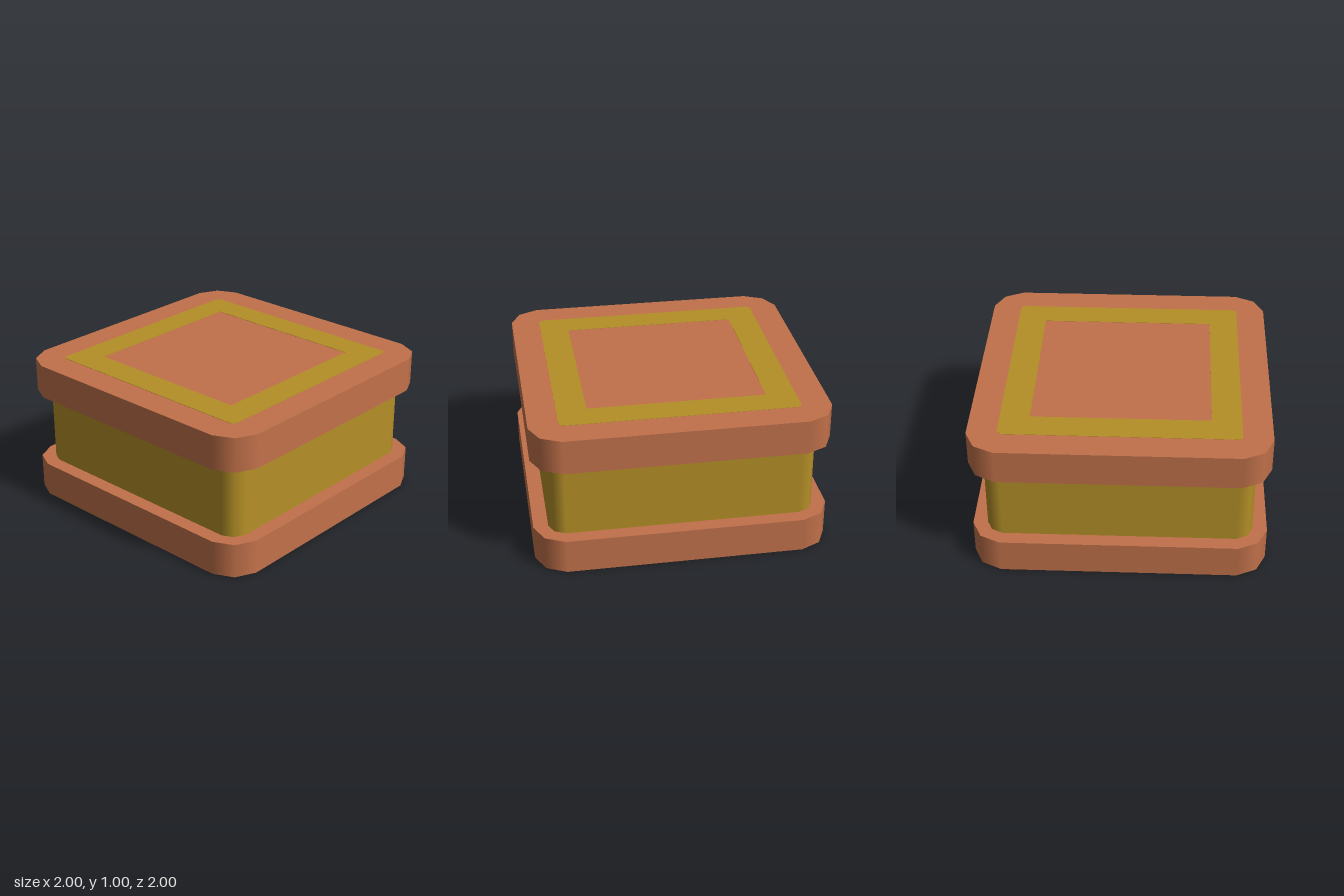
import * as THREE from 'three';

// Outline of a square with each corner cut by two facets
function roundedSquare(half, radius) {
  const c = half - radius, m = c + radius * 0.675;
  const corner = [[half, c], [m, m], [c, half]];
  const points = [];
  for (let q = 0; q < 4; q++) {
    const cos = [1, 0, -1, 0][q], sin = [0, 1, 0, -1][q];
    for (const [x, y] of corner) points.push(new THREE.Vector2(x * cos - y * sin, x * sin + y * cos));
  }
  return new THREE.Shape(points);
}

// Upright block whose corners are shaded smoothly into flat sides
function block(name, half, radius, y0, y1, material) {
  const geometry = new THREE.ExtrudeGeometry(roundedSquare(half, radius), { depth: y1 - y0, bevelEnabled: false });
  const pos = geometry.attributes.position, normal = geometry.attributes.normal;
  const c = half - radius;
  const n = new THREE.Vector3();
  for (let i = 0; i < pos.count; i++) {
    if (Math.abs(normal.getZ(i)) > 0.5) continue;
    const x = pos.getX(i), y = pos.getY(i);
    n.set(x - THREE.MathUtils.clamp(x, -c, c), y - THREE.MathUtils.clamp(y, -c, c), 0).normalize();
    normal.setXYZ(i, n.x, n.y, 0);
  }
  geometry.rotateX(-Math.PI / 2).translate(0, y0, 0);
  const mesh = new THREE.Mesh(geometry, material);
  mesh.name = name;
  return mesh;
}

export function createModel() {
  const terracotta = new THREE.MeshStandardMaterial({ name: 'terracotta', color: 0xc1714a });
  const ochre = new THREE.MeshStandardMaterial({ name: 'ochre', color: 0xb48f27 });
  const model = new THREE.Group();
  model.name = 'squareBlock';

  // Two slabs with a narrower core between them
  model.add(
    block('bottomSlab', 1, 0.2, 0, 0.24, terracotta),
    block('core', 0.9, 0.11, 0.24, 0.76, ochre),
    block('topSlab', 1, 0.2, 0.76, 0.998, terracotta),
  );

  // Thin square band inlaid in the top
  const band = roundedSquare(0.8, 0.03);
  band.holes.push(new THREE.Path([[-0.6, -0.6], [-0.6, 0.6], [0.6, 0.6], [0.6, -0.6]].map(([x, y]) => new THREE.Vector2(x, y))));
  const bandGeometry = new THREE.ExtrudeGeometry(band, { depth: 0.003, bevelEnabled: false });
  bandGeometry.rotateX(-Math.PI / 2).translate(0, 0.997, 0);
  const topBand = new THREE.Mesh(bandGeometry, ochre);
  topBand.name = 'topBand';
  model.add(topBand);
  return model;
}
